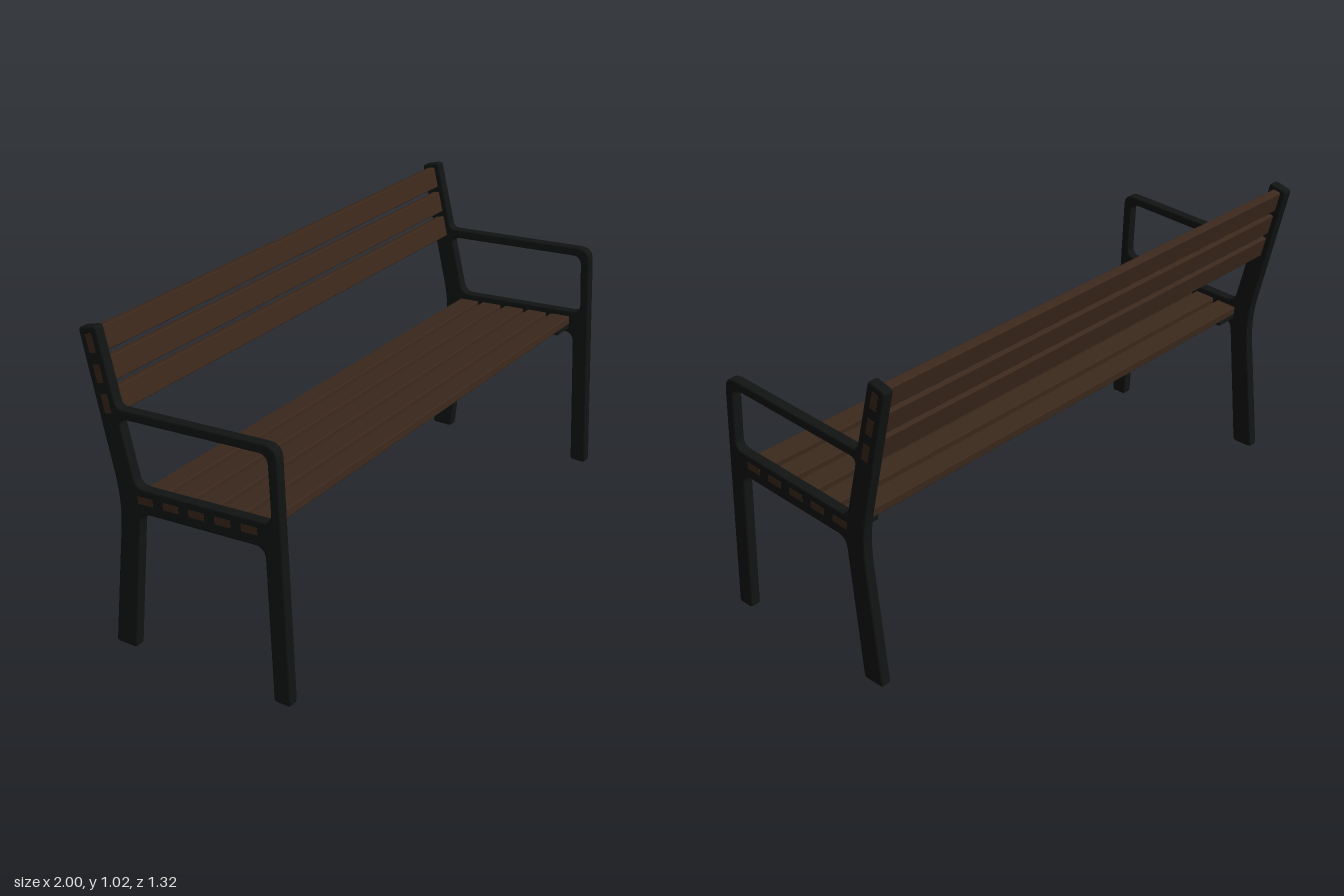
import * as THREE from 'three';
import { RoundedBoxGeometry } from 'three/addons/geometries/RoundedBoxGeometry.js';

const HALF = 0.936;      // half of the overall bench length
const THICK = 0.034;     // thickness of a side frame
const INNER = HALF - THICK;
const iron = new THREE.MeshStandardMaterial({ color: 0x121414 });
const wood = new THREE.MeshStandardMaterial({ color: 0x3b281c });

// Closed outline through [z, y, radius] corners, each corner rounded off
function roundedOutline(path, corners) {
  const n = corners.length;
  const at = i => new THREE.Vector2(corners[(i + n) % n][0], corners[(i + n) % n][1]);
  for (let i = 0; i < n; i++) {
    const p = at(i), r = corners[i][2];
    const a = p.clone().add(at(i - 1).sub(p).setLength(r));
    const b = p.clone().add(at(i + 1).sub(p).setLength(r));
    if (i === 0) path.moveTo(a.x, a.y); else path.lineTo(a.x, a.y);
    path.quadraticCurveTo(p.x, p.y, b.x, b.y);
  }
  path.closePath();
  return path;
}

// Legs, armrest, seat rail and back post cut from one plate
function frameGeometry() {
  const shape = roundedOutline(new THREE.Shape(), [
    [0.353, 0, 0.012], [0.324, 0.816, 0.045],       // front leg, armrest corner
    [-0.233, 0.787, 0.02], [-0.291, 1.024, 0.012],  // armrest end, top of post
    [-0.355, 1.007, 0.012], [-0.235, 0.49, 0.09],   // back of post
    [-0.291, 0, 0.012], [-0.214, 0, 0.012],         // rear foot
    [-0.166, 0.471, 0.035], [0.277, 0.496, 0.035],  // underside of seat rail
    [0.295, 0, 0.012],
  ]);
  shape.holes.push(roundedOutline(new THREE.Path(), [
    [0.292, 0.784, 0.03], [-0.227, 0.756, 0.025],
    [-0.177, 0.55, 0.03], [0.301, 0.577, 0.03],
  ]));
  const bevel = 0.005;
  const geo = new THREE.ExtrudeGeometry(shape, {
    depth: THICK - 2 * bevel, curveSegments: 6,
    bevelSize: bevel, bevelThickness: bevel, bevelOffset: -bevel, bevelSegments: 2,
  });
  geo.translate(0, 0, -THICK / 2 + bevel);
  geo.rotateY(-Math.PI / 2);
  return geo;
}

// A plank along x with narrower tenons that show flush in the side frames
function makeSlat(name, width, thickness) {
  const slat = new THREE.Group();
  slat.name = name;
  const board = new THREE.Mesh(
    new RoundedBoxGeometry(2 * INNER + 0.004, thickness, width, 2, 0.004), wood);
  board.name = name + 'Board';
  slat.add(board);
  for (const side of [-1, 1]) {
    const tenon = new THREE.Mesh(new THREE.BoxGeometry(THICK + 0.001, 0.024, 0.056), wood);
    tenon.name = name + 'Tenon';
    tenon.position.x = side * (INNER + THICK / 2);
    slat.add(tenon);
  }
  return slat;
}

export function createModel() {
  const model = new THREE.Group();
  model.name = 'parkBench';
  const bench = new THREE.Group();
  bench.name = 'bench';
  bench.rotation.y = THREE.MathUtils.degToRad(20.7);
  model.add(bench);

  const seatTilt = -0.06, seatSlope = 0.062;
  const frame = frameGeometry();
  for (const side of [-1, 1]) {
    // Side frame
    const mesh = new THREE.Mesh(frame, iron);
    mesh.name = side > 0 ? 'leftFrame' : 'rightFrame';
    mesh.position.x = side * (HALF - THICK / 2);
    bench.add(mesh);
    // Bearer plate under the seat slats
    const bearer = new THREE.Mesh(new THREE.BoxGeometry(0.084, 0.016, 0.44), iron);
    bearer.name = side > 0 ? 'leftSeatBearer' : 'rightSeatBearer';
    bearer.position.set(side * (INNER - 0.04), 0.505, 0.04);
    bearer.rotation.x = seatTilt;
    bench.add(bearer);
  }

  // Five seat slats, sloping down to the rear
  for (let i = 0; i < 5; i++) {
    const slat = makeSlat('seatSlat', 0.074, 0.03);
    const z = 0.225 - i * 0.0925;
    slat.position.set(0, 0.527 + (z - 0.04) * seatSlope, z);
    slat.rotation.x = seatTilt;
    bench.add(slat);
  }

  // Three back slats, leaning with the posts
  for (let i = 0; i < 3; i++) {
    const slat = makeSlat('backSlat', 0.073, 0.03);
    slat.position.set(0, 0.968 - i * 0.088, -0.312 + i * 0.0215);
    slat.rotation.x = Math.PI / 2 - 0.24;
    bench.add(slat);
  }
  return model;
}
